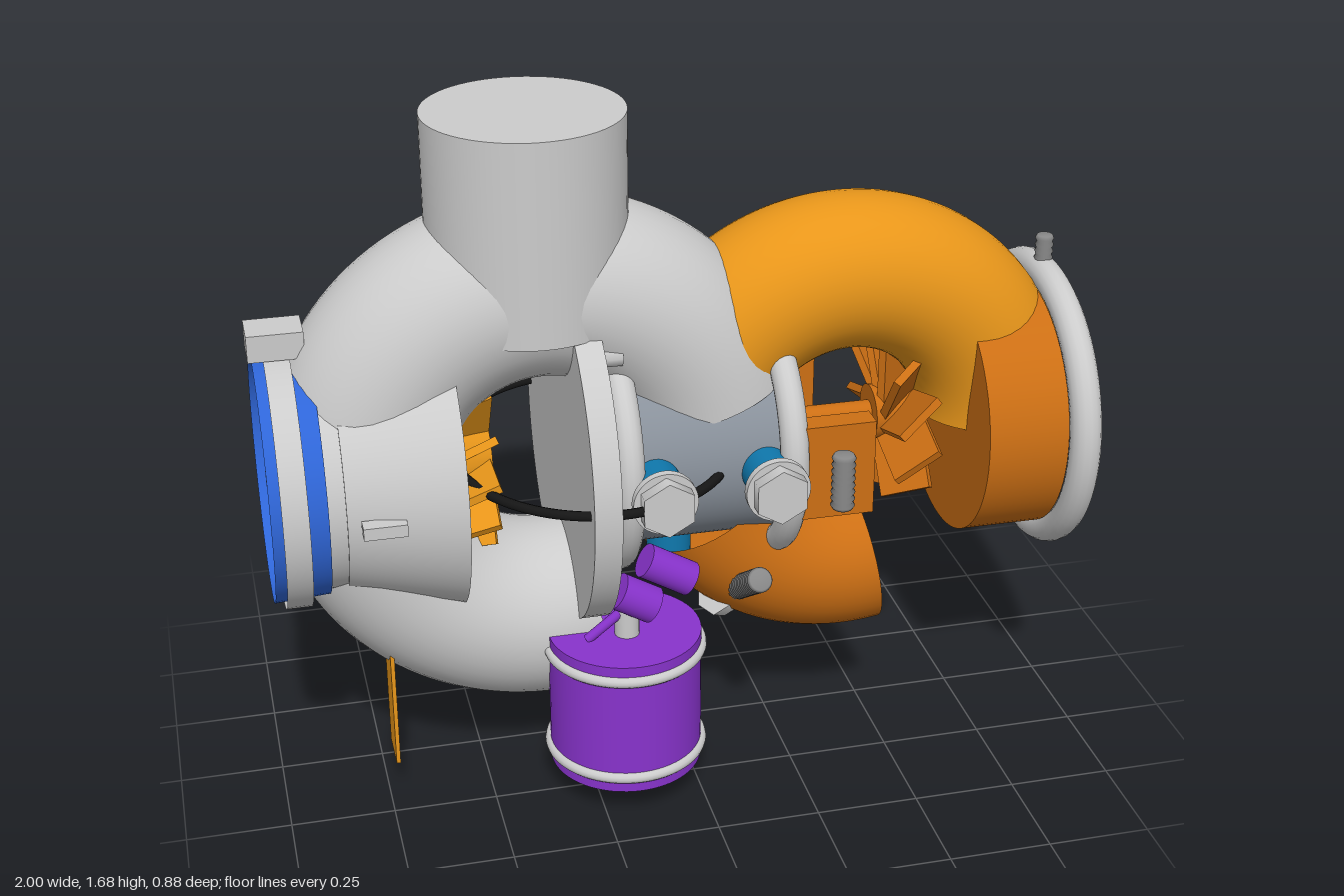
import * as THREE from 'three';

const AY = 0.83, AZ = 0.02; // shared shaft axis
const V = (x, y, z) => new THREE.Vector3(x, y, z);
const mat = (color) => new THREE.MeshStandardMaterial({ color, side: THREE.DoubleSide });
const M = {
  grey: mat(0xcccccc), dark: mat(0x8a929c), orange: mat(0xe8961a), rust: mat(0xcc6f14),
  blue: mat(0x2f66d8), teal: mat(0x0f78ad), purple: mat(0x8833cc), black: mat(0x161616), steel: mat(0x888888),
};

export function createModel() {
  const root = new THREE.Group();
  const add = (name, geo, m, x = 0, y = 0, z = 0, parent = root) => {
    const mesh = new THREE.Mesh(geo, m);
    mesh.name = name;
    mesh.position.set(x, y, z);
    parent.add(mesh);
    return mesh;
  };
  const box = (name, m, x0, x1, y0, y1, z0, z1) =>
    add(name, new THREE.BoxGeometry(x1 - x0, y1 - y0, z1 - z0), m, (x0 + x1) / 2, (y0 + y1) / 2, (z0 + z1) / 2);
  // Cylinder between two points
  const rod = (name, m, a, b, r, r2 = r, seg = 40, open = false) => {
    const d = b.clone().sub(a);
    const mesh = add(name, new THREE.CylinderGeometry(r2, r, d.length(), seg, 1, open), m);
    mesh.position.copy(a).add(b).multiplyScalar(0.5);
    mesh.quaternion.setFromUnitVectors(V(0, 1, 0), d.normalize());
    return mesh;
  };
  // Cylinder or cone on the shaft axis
  const axial = (name, m, x0, x1, r, r2 = r, open = false) =>
    rod(name, m, V(x0, AY, AZ), V(x1, AY, AZ), r, r2, 64, open);
  const axialRing = (name, m, x, R, r) => {
    add(name, new THREE.TorusGeometry(R, r, 16, 72), m, x, AY, AZ).rotation.y = Math.PI / 2;
  };
  // Bent pipe: arc in the xy plane, from angle a0 to a1 in degrees
  const bend = (name, m, cx, R, r, a0, a1, capped) => {
    const g = new THREE.Group();
    g.name = name;
    g.position.set(cx, AY, AZ);
    root.add(g);
    const rad = THREE.MathUtils.degToRad;
    add(name + 'Pipe', new THREE.TorusGeometry(R, r, 40, 90, rad(a1 - a0)), m, 0, 0, 0, g).rotation.z = rad(a0);
    if (capped) for (const a of [rad(a0), rad(a1)]) {
      const c = add(name + 'Cap', new THREE.CircleGeometry(r, 40), m, R * Math.cos(a), R * Math.sin(a), 0, g);
      c.rotation.set(Math.PI / 2, a, 0, 'ZYX');
      c.quaternion.setFromUnitVectors(V(0, 0, 1), V(-Math.sin(a), Math.cos(a), 0));
    }
  };
  // Ridged screw between two points
  const screw = (name, a, b, r) => {
    const d = b.clone().sub(a), L = d.length(), n = Math.round(L / 0.017);
    const pts = [new THREE.Vector2(0, 0)];
    for (let i = 0; i <= n * 2; i++) pts.push(new THREE.Vector2(i % 2 ? r : r * 0.82, L * i / (n * 2)));
    pts.push(new THREE.Vector2(0, L));
    const mesh = add(name, new THREE.LatheGeometry(pts, 20), M.steel, a.x, a.y, a.z);
    mesh.quaternion.setFromUnitVectors(V(0, 1, 0), d.normalize());
  };

  // Compressor housing and outlet
  bend('compressorVolute', M.grey, -0.33, 0.43, 0.22, 18, 286, true);
  rod('compressorOutlet', M.grey, V(-0.345, 1.19, AZ), V(-0.345, 1.68, AZ), 0.235, 0.235, 64);
  axial('backPlate', M.grey, -0.28, -0.215, 0.42);
  for (const sy of [-1, 1]) for (const sz of [-1, 1]) {
    const y = AY + sy * 0.31, z = AZ + sz * 0.19;
    rod('plateBolt', M.grey, V(-0.22, y, z), V(-0.165, y, z), 0.025, 0.025, 6);
  }

  // Intake
  axial('intakeCore', M.grey, -0.94, -0.78, 0.28);
  axial('intakeCone', M.grey, -0.82, -0.55, 0.285, 0.35);
  axial('intakeSleeve', M.blue, -0.99, -0.86, 0.298, 0.29, true);
  axial('intakeClamp', M.grey, -0.965, -0.905, 0.315, 0.315, true);
  box('clampLatch', M.grey, -1, -0.87, 1.145, 1.21, -0.03, 0.07);
  for (const s of [-1, 1]) box('coneTab', M.grey, -0.79, -0.69, 0.815, 0.845, AZ + s * 0.32 - 0.02, AZ + s * 0.32 + 0.02);

  // Bladed wheels, each blade a box tilted around the shaft
  const wheel = (name, m, x, width, hub, r, n, tilt) => {
    const g = new THREE.Group();
    g.name = name;
    g.position.set(x, AY, AZ);
    root.add(g);
    add(name + 'Hub', new THREE.CylinderGeometry(hub * 0.7, hub, width, 32), m, 0, 0, 0, g).rotation.z = -Math.PI / 2;
    for (let i = 0; i < n; i++) {
      const arm = new THREE.Group();
      arm.rotation.x = i * 2 * Math.PI / n;
      g.add(arm);
      const blade = add(name + 'Blade', new THREE.BoxGeometry(width, r - hub * 0.5, 0.02), m, 0, (r + hub * 0.5) / 2, 0, arm);
      blade.rotation.y = tilt;
    }
  };
  wheel('compressorWheel', M.orange, -0.5, 0.09, 0.12, 0.22, 12, 0.35);
  wheel('turbineWheel', M.rust, 0.565, 0.13, 0.07, 0.21, 10, 0.7);
  axial('shaft', M.rust, 0.23, 0.56, 0.03);

  // Bearing housing with two end rings
  axial('bearingHousing', M.dark, -0.215, 0.235, 0.25);
  for (const x of [-0.165, 0.228]) axialRing('housingRing', M.grey, x, 0.28, 0.034);

  // Oil ports on the front of the housing
  for (const x of [-0.1, 0.168]) {
    rod('portSleeve', M.teal, V(x, AY, 0.22), V(x, AY, 0.36), 0.06);
    rod('portWasher', M.grey, V(x, AY, 0.355), V(x, AY, 0.375), 0.077);
    rod('portNut', M.grey, V(x, AY, 0.375), V(x, AY, 0.41), 0.068, 0.068, 6);
  }
  rod('drainPort', M.teal, V(-0.01, 0.46, AZ), V(-0.01, 0.62, AZ), 0.055);

  // Wire loop around the housing
  const loop = [];
  for (let i = 0; i < 24; i++) {
    const a = i * Math.PI / 12;
    loop.push(V(-0.205 + 0.34 * Math.cos(a), AY, 0.015 + 0.385 * Math.sin(a)));
  }
  add('wireLoop', new THREE.TubeGeometry(new THREE.CatmullRomCurve3(loop, true), 120, 0.012, 8, true), M.black);

  // Turbine housing: upper and lower bends and outlet flange
  bend('turbineUpperBend', M.orange, 0.42, 0.39, 0.19, 0, 150, true);
  bend('turbineLowerBend', M.rust, 0.42, 0.385, 0.183, 210, 280, false);
  axial('outletDrum', M.rust, 0.7, 0.9, 0.315);
  axialRing('outletRing', M.grey, 0.933, 0.335, 0.038);
  screw('ringScrew', V(0.933, 1.11, AZ), V(0.933, 1.26, AZ), 0.023);

  // Mounting plates with screws
  for (const [z0, z1, zs] of [[0.24, 0.3, 0.36], [-0.26, -0.2, -0.32]]) {
    box('mountPlate', M.rust, 0.25, 0.425, 0.705, 0.945, z0, z1);
    screw('mountScrew', V(0.328, 0.76, zs), V(0.328, 0.9, zs), 0.029);
  }
  box('rearTab', M.rust, 0.24, 0.39, 0.815, 0.84, -0.44, -0.26);

  // Actuator canister
  const CX = -0.17, CZ = 0.235;
  rod('actuatorCan', M.purple, V(CX, 0.08, CZ), V(CX, 0.43, CZ), 0.185, 0.185, 64);
  for (const y of [0.12, 0.39])
    add('actuatorBand', new THREE.TorusGeometry(0.184, 0.014, 12, 64), M.grey, CX, y, CZ).rotation.x = Math.PI / 2;
  for (const s of [-1, 1]) rod('actuatorPin', M.orange, V(CX + s * 0.085, 0, CZ), V(CX + s * 0.085, 0.09, CZ), 0.025, 0.025, 24);
  rod('actuatorStem', M.grey, V(CX, 0.42, 0.26), V(CX, 0.52, 0.26), 0.03, 0.03, 24);
  rod('linkRod', M.purple, V(-0.27, 0.43, 0.27), V(-0.13, 0.54, 0.27), 0.012, 0.012, 12);
  rod('linkFitting', M.purple, V(-0.195, 0.56, 0.28), V(-0.11, 0.51, 0.28), 0.045, 0.045, 32);
  rod('linkFitting', M.purple, V(-0.13, 0.635, 0.28), V(-0.02, 0.57, 0.28), 0.042, 0.042, 32);

  // Slanted threaded rod with nut
  screw('threadedRod', V(0.135, 0.585, 0.35), V(0.135, 0.27, -0.12), 0.031);
  rod('rodNut', M.grey, V(0.09, 0.4, 0.09), V(0.13, 0.37, 0.05), 0.05, 0.05, 6);

  // Hanging strip
  box('hangingStrip', M.orange, -0.73, -0.72, 0.075, 0.4, 0.05, 0.16);

  return root;
}
